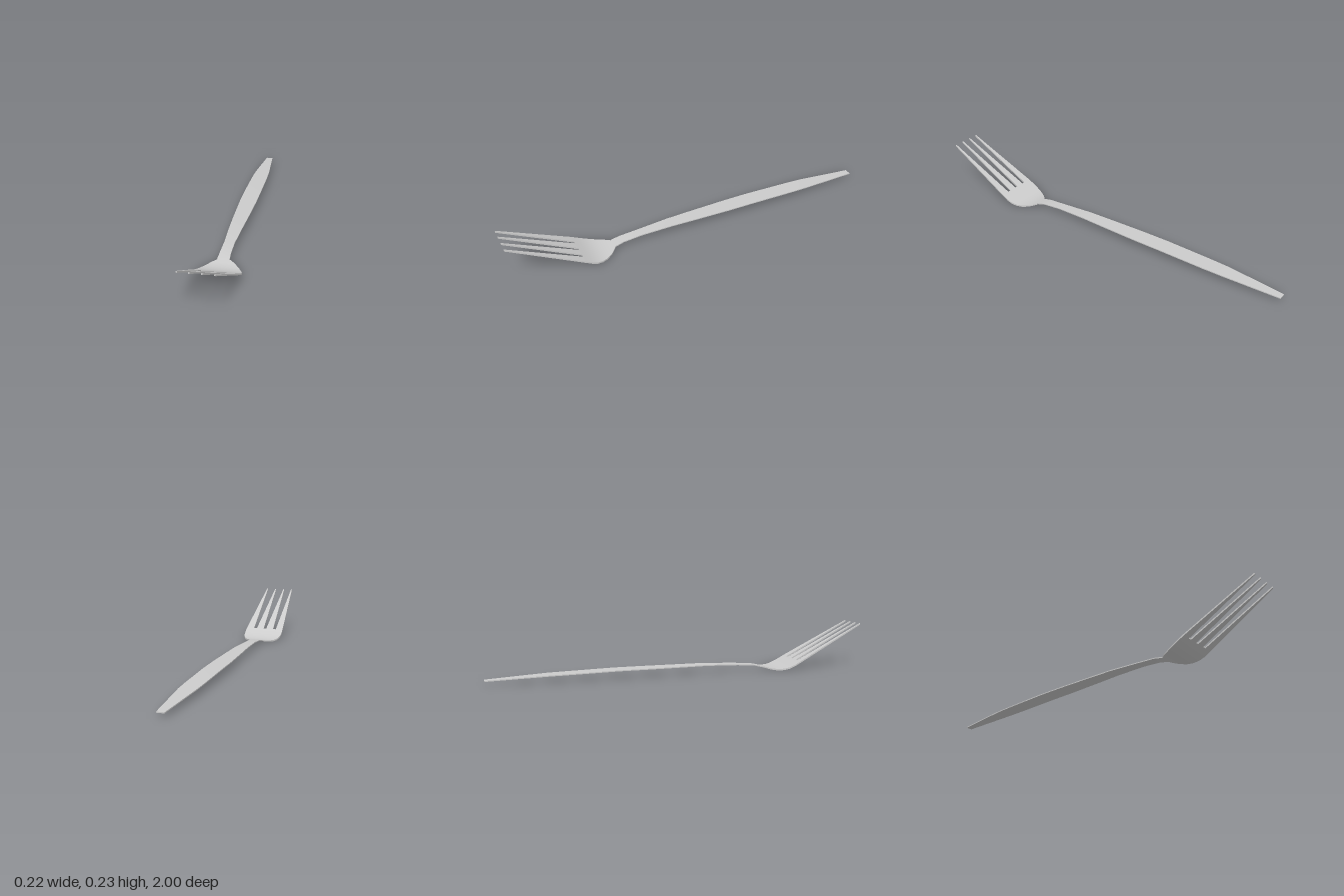
import * as THREE from 'three';
import { toCreasedNormals } from 'three/addons/utils/BufferGeometryUtils.js';

// Side profile of the whole fork: [z, centre height, thickness]
const PROFILE = [
  [-1, 0.022, 0.005], [-0.7, 0.034, 0.005], [-0.35, 0.041, 0.005], [0.13, 0.041, 0.005],
  [0.3, 0.034, 0.005], [0.4, 0.026, 0.005], [0.45, 0.014, 0.006], [0.48, 0.007, 0.007],
  [0.51, 0.004, 0.008], [0.54, 0.007, 0.008], [0.57, 0.015, 0.008], [0.6, 0.028, 0.008],
  [0.63, 0.044, 0.008], [1, 0.231, 0.008],
];

function profileAt(z) {
  let i = 0;
  while (i < PROFILE.length - 2 && PROFILE[i + 1][0] < z) i++;
  const a = PROFILE[i], b = PROFILE[i + 1];
  const t = (z - a[0]) / (b[0] - a[0]);
  return [THREE.MathUtils.lerp(a[1], b[1], t), THREE.MathUtils.lerp(a[2], b[2], t)];
}

// Thin bar lofted through sections [z, left edge x, right edge x], following the profile
function loftBar(sections) {
  const rings = sections.map(([z, x0, x1]) => {
    const [y, t] = profileAt(z);
    const top = y + t / 2, bottom = y - t / 2;
    return [[x0, top, z], [x1, top, z], [x1, bottom, z], [x0, bottom, z]];
  });
  const pos = [];
  const quad = (a, b, c, d) => pos.push(...a, ...b, ...c, ...a, ...c, ...d);
  for (let i = 0; i < rings.length - 1; i++) {
    const p = rings[i], q = rings[i + 1];
    for (let k = 0; k < 4; k++) {
      const n = (k + 1) % 4;
      quad(p[k], q[k], q[n], p[n]);
    }
  }
  const [a, b, c, d] = rings[0];
  quad(a, b, c, d);
  const [e, f, g, h] = rings[rings.length - 1];
  quad(e, h, g, f);
  const geo = new THREE.BufferGeometry();
  geo.setAttribute('position', new THREE.Float32BufferAttribute(pos, 3));
  return toCreasedNormals(geo, 0.7);
}

export function createModel() {
  const group = new THREE.Group();
  group.name = 'fork';
  const material = new THREE.MeshStandardMaterial({ color: 0xcccccc });
  const add = (name, sections) => {
    const mesh = new THREE.Mesh(loftBar(sections), material);
    mesh.name = name;
    group.add(mesh);
  };

  // Handle: [z, half width], set slightly off centre
  const handle = [
    [-1, 0.018], [-0.7, 0.041], [-0.6, 0.044], [-0.35, 0.046], [-0.2, 0.045], [0, 0.039],
    [0.13, 0.034], [0.3, 0.026], [0.4, 0.027], [0.45, 0.03],
  ];
  add('handle', handle.map(([z, w]) => [z, -0.005 - w, -0.005 + w]));

  // Head: rounded shoulders widening to the tine roots
  const head = [
    [0.45, 0.031], [0.465, 0.048], [0.48, 0.062], [0.51, 0.083],
    [0.54, 0.098], [0.57, 0.107], [0.6, 0.11], [0.63, 0.109],
  ];
  add('head', head.map(([z, w]) => [z, -w, w]));

  // Four tapering tines: root left x, root right x, tip centre x
  const tines = [
    [-0.109, -0.068, -0.076], [-0.051, -0.009, -0.026],
    [0.007, 0.048, 0.027], [0.066, 0.109, 0.08],
  ];
  tines.forEach(([x0, x1, tip], i) =>
    add(`tine${i + 1}`, [[0.63, x0, x1], [1, tip - 0.003, tip + 0.003]]));

  return group;
}
